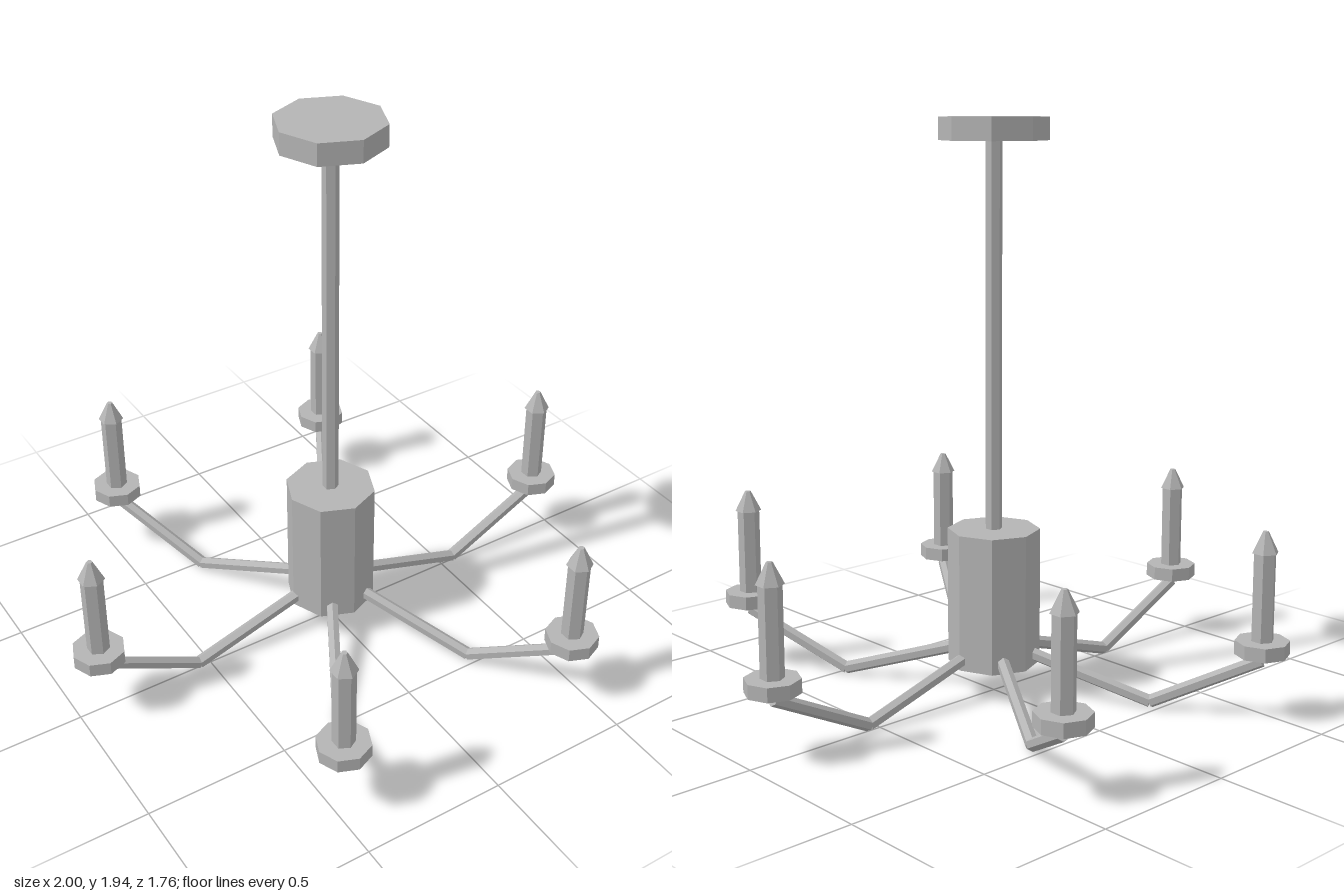
import * as THREE from 'three';

export function createModel() {
  const root = new THREE.Group();
  root.name = 'chandelier';
  const metal = new THREE.MeshStandardMaterial({ color: 0xb4b4b4, flatShading: true });
  metal.name = 'grey metal';

  // Upright faceted cylinder spanning y0 to y1
  function post(parent, name, sides, rBottom, rTop, y0, y1, x = 0) {
    const mesh = new THREE.Mesh(new THREE.CylinderGeometry(rTop, rBottom, y1 - y0, sides), metal);
    mesh.position.set(x, (y0 + y1) / 2, 0);
    mesh.name = name;
    parent.add(mesh);
    return mesh;
  }

  // Hexagonal bar between two points of the arm's vertical plane, ridge on top
  function bar(parent, name, [x0, y0], [x1, y1]) {
    const geo = new THREE.CylinderGeometry(0.022, 0.022, Math.hypot(x1 - x0, y1 - y0), 6);
    geo.rotateY(Math.PI / 6);
    const mesh = new THREE.Mesh(geo, metal);
    mesh.position.set((x0 + x1) / 2, (y0 + y1) / 2, 0);
    mesh.rotation.z = Math.atan2(y1 - y0, x1 - x0) - Math.PI / 2;
    mesh.name = name;
    parent.add(mesh);
  }

  // Ceiling plate, rod and hub
  post(root, 'ceilingPlate', 8, 0.18, 0.18, 1.862, 1.937);
  post(root, 'rod', 6, 0.028, 0.028, 0.55, 1.88);
  post(root, 'hub', 8, 0.156, 0.156, 0.108, 0.574);

  // Six arms, each with a dish and candle
  const reach = 0.91;
  for (let i = 0; i < 6; i++) {
    const angle = (i * Math.PI) / 3;
    const arm = new THREE.Group();
    arm.name = 'arm' + (i + 1);
    arm.rotation.y = angle;
    bar(arm, 'innerBar', [0.1, 0.157], [0.545, 0.022]);
    bar(arm, 'outerBar', [0.545, 0.022], [reach, 0.203]);
    // Dish keeps the same facing on every arm
    const dish = post(arm, 'dish', 8, 0.09, 0.09, 0.225, 0.272, reach);
    dish.rotation.y = -angle;
    post(arm, 'candle', 6, 0.038, 0.038, 0.265, 0.575, reach);
    post(arm, 'flame', 6, 0.045, 0.01, 0.566, 0.636, reach);
    root.add(arm);
  }
  return root;
}
